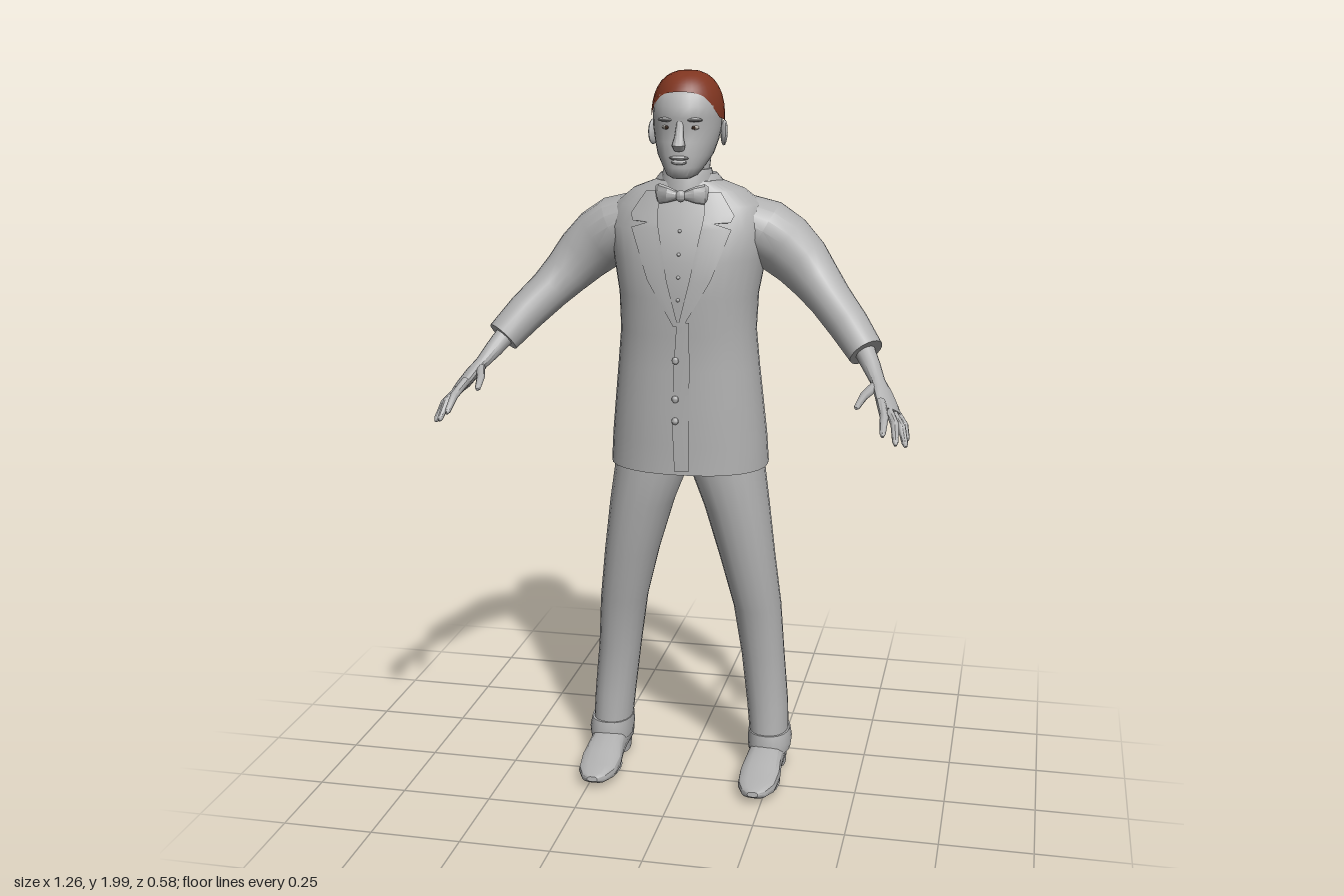
import * as THREE from 'three';
import { toCreasedNormals } from 'three/addons/utils/BufferGeometryUtils.js';

const mat = (name, color) => Object.assign(new THREE.MeshStandardMaterial({ color }), { name });
const sgnPow = (v, p) => Math.sign(v) * Math.abs(v) ** p;
const V = (x, y, z) => new THREE.Vector3(x, y, z);

// Piecewise-linear lookup: table rows are [key, ...values] with rising keys
function lookup(table, k) {
  let i = 0;
  while (i < table.length - 2 && k > table[i + 1][0]) i++;
  const a = table[i], b = table[i + 1];
  const t = THREE.MathUtils.clamp((k - a[0]) / (b[0] - a[0]), 0, 1);
  return a.slice(1).map((v, j) => v + (b[j + 1] - v) * t);
}

// Skin a list of closed rings, capping both ends
function skin(rings, caps = true) {
  const n = rings[0].length, pos = [], idx = [];
  rings.forEach(r => r.forEach(p => pos.push(p.x, p.y, p.z)));
  for (let r = 0; r < rings.length - 1; r++) for (let i = 0; i < n; i++) {
    const a = r * n + i, b = r * n + (i + 1) % n;
    idx.push(a, b, b + n, a, b + n, a + n);
  }
  if (caps) [0, rings.length - 1].forEach(r => {
    const c = rings[r].reduce((s, p) => s.add(p), V(0, 0, 0)).divideScalar(n);
    const ci = pos.length / 3;
    pos.push(c.x, c.y, c.z);
    for (let i = 0; i < n; i++) {
      const a = r * n + i, b = r * n + (i + 1) % n;
      r ? idx.push(ci, a, b) : idx.push(ci, b, a);
    }
  });
  return indexed(pos, idx);
}
function indexed(pos, idx) {
  const g = new THREE.BufferGeometry();
  g.setAttribute('position', new THREE.Float32BufferAttribute(pos, 3));
  g.setIndex(idx);
  return g;
}

// Horizontal sections: [y, xMin, xMax, zFront, zBack], bottom to top
function stack(rows, n = 24, e = 2, caps = true) {
  return skin(rows.map(([y, x0, x1, zf, zb]) => Array.from({ length: n }, (_, i) => {
    const a = i / n * Math.PI * 2;
    return V((x0 + x1) / 2 + (x1 - x0) / 2 * sgnPow(Math.cos(a), 2 / e), y,
      (zf + zb) / 2 - (zf - zb) / 2 * sgnPow(Math.sin(a), 2 / e));
  })), caps);
}
const even = rows => rows.map(([y, w, f, b]) => [y, -w, w, f, b]);

// Sections across a path: [x, y, z, width radius, thickness radius]; ref is the thickness direction
function limb(path, ref, n = 14, e = 2) {
  const pts = path.map(p => V(p[0], p[1], p[2]));
  return skin(path.map((p, k) => {
    const T = pts[Math.min(k + 1, pts.length - 1)].clone().sub(pts[Math.max(k - 1, 0)]).normalize();
    const N = ref.clone().cross(T).normalize(), B = T.clone().cross(N);
    return Array.from({ length: n }, (_, i) => {
      const a = i / n * Math.PI * 2;
      return pts[k].clone().addScaledVector(N, p[3] * sgnPow(Math.cos(a), 2 / e))
        .addScaledVector(B, p[4] * sgnPow(Math.sin(a), 2 / e));
    });
  }));
}

function mirrored(g) {
  const m = g.clone().scale(-1, 1, 1), ix = m.index;
  for (let i = 0; i < ix.count; i += 3) {
    const t = ix.getX(i + 1);
    ix.setX(i + 1, ix.getX(i + 2));
    ix.setX(i + 2, t);
  }
  return m;
}

// Jacket body sections: y, half width, front z, back z
const JACKET = [[0.918, 0.22, 0.047, -0.285], [1.0, 0.215, 0.045, -0.275], [1.1, 0.205, 0.045, -0.26],
  [1.2, 0.195, 0.04, -0.24], [1.3, 0.186, 0.04, -0.232], [1.4, 0.19, 0.048, -0.25], [1.5, 0.208, 0.043, -0.27],
  [1.58, 0.222, 0.025, -0.257], [1.64, 0.2, 0.003, -0.225], [1.68, 0.15, -0.012, -0.19], [1.705, 0.085, -0.018, -0.165]];
const JE = 2.3;
function jacketZ(x, y, side) {
  const [w, f, b] = lookup(JACKET, y);
  return (f + b) / 2 + side * (f - b) / 2 * Math.max(0, 1 - Math.min(1, Math.abs(x) / w) ** JE) ** (1 / JE);
}
// Cloth strip lying on the jacket: rows [y, xStart, xEnd] from top to bottom
function strip(rows, side = 1, off = 0.007, cols = 5) {
  const pos = [], idx = [];
  rows.forEach(([y, a, b], r) => {
    for (let c = 0; c <= cols; c++) {
      const x = a + (b - a) * c / cols;
      pos.push(x, y, jacketZ(x, y, side) + side * off);
      if (r && c) {
        const q = r * (cols + 1) + c, p = q - cols - 1;
        idx.push(p - 1, q - 1, q, p - 1, q, p);
      }
    }
  });
  return indexed(pos, idx);
}

export function createModel() {
  const root = new THREE.Group();
  root.name = 'manInDinnerJacket';
  const grey = mat('plainGrey', 0xb0b0b0), brown = mat('hairBrown', 0x7f3520);
  const white = mat('eyeWhite', 0xc8c4bc), dark = mat('irisBrown', 0x3a2a20);
  const add = (name, g, m = grey, crease = 0.5) => {
    const mesh = new THREE.Mesh(toCreasedNormals(g, crease), m);
    mesh.name = name;
    root.add(mesh);
  };
  const pair = (name, g, m, crease) => {
    add(name + 'Left', g, m, crease);
    add(name + 'Right', mirrored(g), m, crease);
  };
  const ball = (x, y, z, rx, ry, rz) => new THREE.SphereGeometry(1, 12, 8).scale(rx, ry, rz).translate(x, y, z);

  // Jacket
  add('jacketBody', stack(even(JACKET), 32, JE));
  pair('lapel', strip([[1.68, 0.06, 0.1], [1.62, 0.062, 0.14], [1.602, 0.06, 0.132], [1.6, 0.06, 0.09],
    [1.585, 0.057, 0.135], [1.45, 0.03, 0.085], [1.33, 0, 0.014]]));
  add('jacketOverlap', strip([[1.34, -0.004, 0.03], [1.2, -0.014, 0.03], [1.05, -0.016, 0.03], [0.93, -0.01, 0.03]], 1, 0.004));
  add('backVent', strip([[1.13, 0.004, -0.004], [1.04, 0.012, -0.008], [0.925, 0.022, -0.012]], -1, 0.006, 2));
  for (const y of [1.235, 1.13, 1.07]) add('jacketButton', ball(-0.008, y, jacketZ(0, y, 1) + 0.004, 0.01, 0.01, 0.006));
  for (const y of [1.58, 1.52, 1.46, 1.4]) add('shirtStud', ball(0, y, jacketZ(0, y, 1) + 0.001, 0.005, 0.005, 0.005));
  add('jacketCollar', stack(even([[1.67, 0.105, -0.022, -0.19], [1.705, 0.09, -0.024, -0.172], [1.722, 0.076, -0.03, -0.158]])));
  add('shirtCollar', stack(even([[1.67, 0.074, -0.002, -0.15], [1.72, 0.068, -0.008, -0.146], [1.735, 0.064, -0.014, -0.142]])));

  // Bow tie
  pair('bowTieWing', limb([[0.006, 1.67, 0.008, 0.01, 0.01], [0.035, 1.673, 0.008, 0.021, 0.013],
    [0.06, 1.674, -0.002, 0.027, 0.011], [0.068, 1.673, -0.006, 0.022, 0.005]], V(0, 0, 1), 10));
  add('bowTieKnot', ball(0, 1.67, 0.012, 0.014, 0.016, 0.012));

  // Sleeves
  const back = V(0, 0, 1);
  pair('sleeve', limb([[0.13, 1.6, -0.125, 0.07, 0.09], [0.2, 1.565, -0.13, 0.089, 0.098], [0.255, 1.53, -0.13, 0.087, 0.085],
    [0.305, 1.485, -0.125, 0.078, 0.073], [0.35, 1.435, -0.108, 0.066, 0.066], [0.39, 1.392, -0.082, 0.058, 0.062],
    [0.445, 1.335, -0.035, 0.054, 0.057], [0.497, 1.274, 0.012, 0.048, 0.05]], back, 18));

  // Hands
  const backOfHand = V(0.7, 0.7, 0.15);
  pair('wristAndPalm', limb([[0.48, 1.295, -0.01, 0.032, 0.03], [0.515, 1.245, 0.045, 0.026, 0.024], [0.536, 1.215, 0.085, 0.023, 0.018],
    [0.553, 1.193, 0.115, 0.034, 0.018], [0.568, 1.17, 0.145, 0.041, 0.017], [0.582, 1.153, 0.168, 0.036, 0.012]], backOfHand));
  const fingers = {
    indexFinger: [[0.553, 1.183, 0.17], [0.568, 1.155, 0.225], [0.57, 1.12, 0.283]],
    middleFinger: [[0.568, 1.168, 0.162], [0.594, 1.135, 0.21], [0.601, 1.092, 0.257]],
    ringFinger: [[0.58, 1.155, 0.155], [0.61, 1.122, 0.19], [0.624, 1.08, 0.222]],
    littleFinger: [[0.588, 1.15, 0.138], [0.614, 1.12, 0.158], [0.624, 1.085, 0.178]],
    thumb: [[0.533, 1.208, 0.105], [0.51, 1.195, 0.175], [0.498, 1.178, 0.24]],
  };
  for (const [name, [a, b, c]] of Object.entries(fingers)) {
    const tip = c.map((v, i) => v * 0.85 + b[i] * 0.15);
    pair(name, limb([[...a, 0.013, 0.012], [...b, 0.011, 0.011], [...tip, 0.008, 0.008], [...c, 0.004, 0.004]], backOfHand, 8), grey, 0.8);
  }

  // Trousers
  pair('trouserLeg', stack([[0.08, 0.18, 0.29, -0.055, -0.203], [0.2, 0.168, 0.285, -0.066, -0.205], [0.35, 0.15, 0.272, -0.067, -0.206],
    [0.5, 0.128, 0.262, -0.045, -0.206], [0.65, 0.09, 0.244, -0.017, -0.208], [0.8, 0.045, 0.226, -0.003, -0.22],
    [0.9, 0.006, 0.212, 0.005, -0.237], [1.0, -0.01, 0.2, 0, -0.23]], 20, 2.2));
  pair('trouserTurnUp', stack([[0.066, 0.176, 0.296, -0.045, -0.206], [0.09, 0.173, 0.299, -0.045, -0.208],
    [0.122, 0.174, 0.293, -0.053, -0.207]], 20, 2.3));

  // Shoes
  pair('shoe', limb([[0.234, 0.055, -0.205, 0.03, 0.035], [0.234, 0.056, -0.185, 0.05, 0.047], [0.234, 0.055, -0.1, 0.05, 0.045],
    [0.233, 0.05, -0.04, 0.052, 0.041], [0.232, 0.039, 0.02, 0.058, 0.033], [0.231, 0.031, 0.08, 0.053, 0.024],
    [0.23, 0.031, 0.12, 0.035, 0.016], [0.23, 0.034, 0.138, 0.015, 0.007]], V(0, 1, 0), 16, 2.7));
  pair('shoeHeel', stack([[0, 0.19, 0.279, -0.11, -0.2], [0.03, 0.188, 0.281, -0.105, -0.203]], 16, 3));
  pair('shoeSole', stack([[0.004, 0.19, 0.272, 0.075, -0.03], [0.016, 0.176, 0.288, 0.1, -0.06]], 16, 2.4));

  // Neck and head
  add('neck', stack(even([[1.66, 0.064, -0.012, -0.145], [1.73, 0.058, -0.022, -0.142], [1.8, 0.064, -0.03, -0.16]])), grey, 0.9);
  add('head', stack(even([[1.716, 0.024, 0.022, -0.02], [1.724, 0.04, 0.034, -0.05], [1.745, 0.055, 0.037, -0.1], [1.775, 0.073, 0.034, -0.14],
    [1.81, 0.083, 0.032, -0.172], [1.845, 0.09, 0.024, -0.182], [1.872, 0.09, 0.031, -0.184], [1.9, 0.09, 0.026, -0.182],
    [1.93, 0.083, 0.014, -0.17], [1.955, 0.062, -0.015, -0.145], [1.968, 0.03, -0.05, -0.115]]), 24, 2.15), grey, 0.9);
  add('nose', limb([[0, 1.862, 0.022, 0.009, 0.008], [0, 1.825, 0.034, 0.012, 0.011], [0, 1.803, 0.04, 0.018, 0.014],
    [0, 1.792, 0.034, 0.014, 0.009]], V(0, 0, 1), 10), grey, 0.8);
  add('upperLip', ball(0, 1.771, 0.035, 0.026, 0.006, 0.009));
  add('lowerLip', ball(0, 1.76, 0.035, 0.021, 0.007, 0.008));
  pair('brow', ball(0.036, 1.868, 0.02, 0.024, 0.006, 0.01));
  pair('eye', ball(0.036, 1.848, 0.014, 0.014, 0.006, 0.006), white, 0.9);
  pair('iris', ball(0.036, 1.848, 0.019, 0.005, 0.005, 0.002), dark, 0.9);
  pair('ear', ball(0, 0, 0, 0.009, 0.034, 0.021).rotateY(0.35).rotateX(-0.15).translate(0.096, 1.828, -0.088), grey, 0.9);

  // Cropped hair: a rounded cap whose lower edge follows the hairline
  const HAIRLINE = [[-1, 1.795], [-0.2, 1.8], [-0.08, 1.86], [0.4, 1.872], [0.6, 1.905], [0.8, 1.93], [1, 1.938]];
  const rings = [];
  for (let k = 0; k <= 9; k++) rings.push(Array.from({ length: 36 }, (_, i) => {
    const a = i / 36 * Math.PI * 2, front = -Math.sin(a);
    const low = lookup(HAIRLINE, front)[0];
    const y = low + (1.99 - low) * Math.sin(k / 9 * Math.PI / 2);
    const r = Math.max(0, 1 - (Math.abs(y - 1.865) / 0.125) ** 2.4) ** (1 / 2.4);
    return V(0.097 * r * Math.cos(a), y, -0.084 + 0.111 * r * front);
  }));
  add('hair', skin(rings, false), brown, 0.9);
  return root;
}
